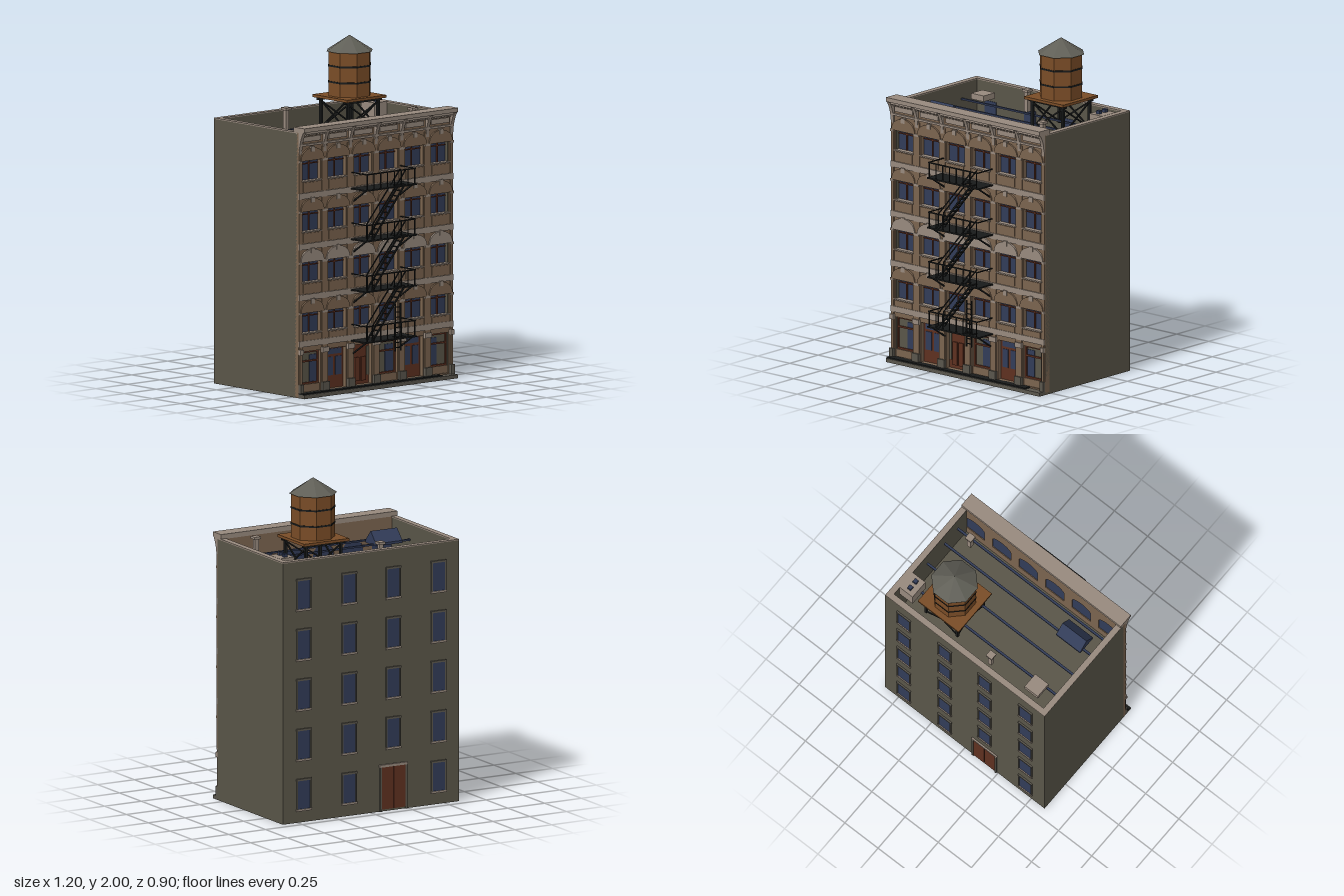
import * as THREE from 'three';

const mat = (name, color, side = THREE.FrontSide) => {
  const m = new THREE.MeshStandardMaterial({ color, side, flatShading: true });
  m.name = name;
  return m;
};

export function createModel() {
  const M = {
    facade: mat('tan facade', 0x7b644f),
    trim: mat('pale stone trim', 0x988a7e),
    wall: mat('grey plaster', 0x5a5649, THREE.DoubleSide),
    glass: mat('blue glass', 0x323c58),
    frame: mat('red brown frame', 0x5e3020),
    iron: mat('black iron', 0x191b1b),
    wood: mat('tank wood', 0x7a4d27),
    slate: mat('grey roof', 0x605f57),
    stone: mat('dark stone', 0x5a564d),
  };
  const root = new THREE.Group();
  root.name = 'apartmentBuilding';
  let target = root;
  const group = (name) => {
    target = new THREE.Group();
    target.name = name;
    root.add(target);
  };
  const add = (name, geo, m, x = 0, y = 0, z = 0) => {
    const mesh = new THREE.Mesh(geo, m);
    mesh.name = name;
    mesh.position.set(x, y, z);
    target.add(mesh);
    return mesh;
  };
  // Box from minimum and maximum corners
  const box = (name, m, x0, x1, y0, y1, z0, z1) =>
    add(name, new THREE.BoxGeometry(x1 - x0, y1 - y0, z1 - z0), m, (x0 + x1) / 2, (y0 + y1) / 2, (z0 + z1) / 2);
  // Thin bar between two points
  const bar = (name, m, a, b, t = 0.008) => {
    const p = new THREE.Vector3(...a), q = new THREE.Vector3(...b);
    const mesh = add(name, new THREE.BoxGeometry(t, t, p.distanceTo(q)), m);
    mesh.position.copy(p).add(q).multiplyScalar(0.5);
    mesh.lookAt(q);
  };
  const extrude = (shape, depth) => new THREE.ExtrudeGeometry(shape, { depth, bevelEnabled: false, curveSegments: 10 });
  const arch = (P, x, y, w, h, rise) => {
    const s = new P();
    s.moveTo(x - w, y);
    s.lineTo(x + w, y);
    s.lineTo(x + w, y + h - rise);
    s.absellipse(x, y + h - rise, w, rise, 0, Math.PI, false);
    s.lineTo(x - w, y);
    return s;
  };
  const rect = (P, x0, x1, y0, y1) => new P([[x0, y0], [x1, y0], [x1, y1], [x0, y1]].map((p) => new THREE.Vector2(...p)));

  const bays = [-0.5, -0.3, -0.1, 0.1, 0.3, 0.5];
  const floors = [0.3, 0.6, 0.9, 1.2];

  // Plaster shell, open above the inner floor
  group('shell');
  for (const s of [-1, 1]) {
    box('sideWall', M.wall, s < 0 ? -0.6 : 0.565, s < 0 ? -0.565 : 0.6, 0, 1.565, -0.445, 0.3);
    box('sideCoping', M.trim, s < 0 ? -0.6 : 0.563, s < 0 ? -0.563 : 0.6, 1.565, 1.572, -0.445, 0.3);
  }
  box('backWall', M.wall, -0.565, 0.565, 0, 1.565, -0.445, -0.41);
  box('backCoping', M.trim, -0.6, 0.6, 1.565, 1.572, -0.445, -0.408);
  box('base', M.wall, -0.6, 0.6, 0, 0.012, -0.445, 0.3);
  box('innerFloor', M.wall, -0.565, 0.565, 1.19, 1.2, -0.41, 0.266);

  // Front wall with arched and square openings
  group('facade');
  const front = rect(THREE.Shape, -0.6, 0.6, 0, 1.57);
  for (const x of bays) {
    for (const f of floors) front.holes.push(arch(THREE.Path, x, f + 0.08, 0.07, 0.177, 0.055));
    front.holes.push(rect(THREE.Path, x - 0.07, x + 0.07, 0.03, 0.27));
  }
  add('frontWall', extrude(front, 0.039), M.facade, 0, 0, 0.266);
  for (const f of floors) {
    const y0 = f === 0.3 ? 0.3 : f - 0.025;
    box('beltCourse', M.trim, -0.6, 0.6, y0, y0 + 0.035, 0.3, 0.314);
    for (const x of bays) {
      add('windowGlass', extrude(arch(THREE.Shape, x, f + 0.08, 0.071, 0.178, 0.055), 0.006), M.glass, 0, 0, 0.271);
      box('mullion', M.frame, x - 0.004, x + 0.004, f + 0.08, f + 0.245, 0.276, 0.284);
      box('transom', M.frame, x - 0.07, x + 0.07, f + 0.175, f + 0.182, 0.276, 0.284);
      box('windowSill', M.trim, x - 0.075, x + 0.075, f + 0.074, f + 0.082, 0.28, 0.314);
      box('spandrelPanel', M.facade, x - 0.066, x + 0.066, f + 0.018, f + 0.07, 0.3, 0.31);
      // Arched hood with keystone
      const hood = arch(THREE.Shape, x, f + 0.2, 0.09, 0.075, 0.068);
      hood.holes.push(arch(THREE.Path, x, f + 0.1999, 0.07, 0.057, 0.054));
      add('windowHood', extrude(hood, 0.014), f === 0.6 ? M.trim : M.facade, 0, 0, 0.303);
      box('keystone', M.trim, x - 0.014, x + 0.014, f + 0.252, f + 0.282, 0.303, 0.321);
    }
    for (let i = -3; i <= 3; i++) {
      const a = Math.max(-0.6, i * 0.2 - 0.022), b = Math.min(0.6, i * 0.2 + 0.022);
      box('pilaster', M.facade, a, b, f + 0.01, f + 0.275, 0.3, 0.31);
      box('pilasterCapital', M.trim, a, b, f + 0.19, f + 0.205, 0.3, 0.316);
    }
  }

  // Cornice, frieze and curved brackets
  group('cornice');
  box('corniceTop', M.trim, -0.6, 0.6, 1.575, 1.6, 0.262, 0.355);
  box('corniceStep', M.trim, -0.6, 0.6, 1.56, 1.576, 0.266, 0.34);
  box('friezeBand', M.trim, -0.6, 0.6, 1.488, 1.5, 0.3, 0.318);
  const bracket = new THREE.Shape();
  bracket.moveTo(0.3, 1.42);
  bracket.lineTo(0.309, 1.42);
  bracket.quadraticCurveTo(0.312, 1.53, 0.35, 1.576);
  bracket.lineTo(0.3, 1.576);
  for (let i = -3; i <= 3; i++) {
    const x = Math.max(-0.589, Math.min(0.589, i * 0.2));
    add('corniceBracket', extrude(bracket, 0.022), M.trim, x + 0.011, 0, 0).rotation.y = -Math.PI / 2;
    target.children.at(-1).position.set(x + 0.011, 0, 0);
  }
  for (const x of bays) box('friezePanel', M.trim, x - 0.07, x + 0.07, 1.512, 1.542, 0.3, 0.312);
  for (let i = 0; i < 48; i++) box('dentil', M.trim, -0.594 + i * 0.025, -0.582 + i * 0.025, 1.548, 1.561, 0.3, 0.328);

  // Ground floor shopfronts and doors
  group('groundFloor');
  box('frontStep', M.stone, -0.6, 0.6, 0, 0.022, 0.3, 0.355);
  box('stepEdge', M.iron, -0.6, 0.48, 0.022, 0.03, 0.3, 0.35);
  for (let i = -3; i <= 3; i++) {
    const a = Math.max(-0.6, i * 0.2 - 0.026), b = Math.min(0.6, i * 0.2 + 0.026);
    box('pierBase', M.stone, a, b, 0.02, 0.08, 0.3, 0.325);
    box('pier', M.facade, a + 0.004, b - 0.004, 0.08, 0.3, 0.3, 0.314);
    box('pierCapital', M.trim, a, b, 0.255, 0.285, 0.3, 0.322);
  }
  bays.forEach((x, i) => {
    const door = i === 1 || i === 4, solid = i === 2;
    const panel = (n, m, a, b, c, d, z = 0.284) => box(n, m, x + a, x + b, c, d, z - 0.008, z);
    panel('bayBacking', door || solid ? M.frame : M.wall, -0.071, 0.071, 0.03, 0.271, 0.277);
    if (door) {
      for (const s of [-1, 1]) panel('doorGlass', M.glass, s * 0.032 - 0.022, s * 0.032 + 0.022, 0.105, 0.215, 0.281);
      panel('fanlight', M.glass, -0.056, 0.056, 0.23, 0.262, 0.281);
    } else if (solid) {
      for (const s of [-1, 1]) {
        panel('sidelight', M.wall, s * 0.06 - 0.009, s * 0.06 + 0.009, 0.08, 0.25, 0.281);
        panel('doorPanel', M.frame, s * 0.024 - 0.018, s * 0.024 + 0.018, 0.05, 0.19, 0.285);
      }
    } else {
      const g = i === 3 ? [-0.005, 0.055] : i === 0 ? [0.005, 0.06] : [-0.06, -0.005];
      panel('stallRiser', M.facade, -0.07, 0.07, 0.03, 0.075, 0.298);
      panel('shopGlass', M.glass, g[0], g[1], 0.085, 0.245, 0.281);
      for (const s of [-1, 1]) panel('shopFrameSide', M.frame, s * 0.064 - 0.006, s * 0.064 + 0.006, 0.075, 0.27, 0.29);
      for (const y of [0.075, 0.205, 0.26]) panel('shopFrameRail', M.frame, -0.07, 0.07, y, y + 0.01, 0.29);
    }
  });

  // Rear windows and door
  group('rear');
  for (const f of [0, ...floors]) for (const x of [-0.458, -0.15, 0.15, 0.458]) {
    if (f === 0 && x === -0.15) continue;
    box('rearGlass', M.glass, x - 0.044, x + 0.044, f + 0.08, f + 0.25, -0.449, -0.406);
    box('rearSill', M.trim, x - 0.052, x + 0.052, f + 0.068, f + 0.08, -0.455, -0.44);
    box('rearLintel', M.stone, x - 0.052, x + 0.052, f + 0.25, f + 0.262, -0.455, -0.44);
    for (const s of [-1, 1]) box('rearJamb', M.stone, x + s * 0.046 - 0.004, x + s * 0.046 + 0.004, f + 0.08, f + 0.25, -0.453, -0.44);
  }
  for (const s of [-1, 1]) {
    box('rearDoorLeaf', M.frame, -0.15 + s * 0.041 - 0.039, -0.15 + s * 0.041 + 0.039, 0.012, 0.265, -0.451, -0.44);
    box('rearDoorJamb', M.stone, -0.15 + s * 0.086 - 0.006, -0.15 + s * 0.086 + 0.006, 0, 0.265, -0.454, -0.44);
  }
  box('rearDoorLintel', M.trim, -0.245, -0.055, 0.265, 0.28, -0.455, -0.44);

  // Fire escape
  group('fireEscape');
  const deck = rect(THREE.Shape, -0.2, 0.2, -0.445, -0.305);
  deck.holes.push(rect(THREE.Path, 0.065, 0.095, -0.42, -0.378), rect(THREE.Path, 0.12, 0.138, -0.42, -0.378));
  const deckGeo = extrude(deck, 0.008).rotateX(-Math.PI / 2);
  deckGeo.translate(0, 0, 0);
  floors.forEach((f, i) => {
    add('landing', deckGeo, M.iron, 0, f - 0.004, 0);
    const t = f + 0.095;
    bar('frontRail', M.iron, [-0.19, t, 0.441], [0.19, t, 0.441], 0.007);
    for (let k = 0; k < 8; k++) {
      const x = -0.185 + k * 0.0529;
      bar('baluster', M.iron, [x, f, 0.441], [x, t, 0.441], 0.005);
    }
    for (const s of [-1, 1]) {
      bar('sideRail', M.iron, [s * 0.19, t, 0.305], [s * 0.19, t, 0.441], 0.006);
      bar('supportBrace', M.iron, [s * 0.18, f - 0.08, 0.306], [s * 0.18, f, 0.43]);
    }
    if (i === 3) return;
    // Flight up to the next landing
    for (const z of [0.375, 0.423]) {
      bar('stringer', M.iron, [-0.13, f, z], [0.12, f + 0.3, z], 0.009);
      bar('handrail', M.iron, [-0.13, f + 0.09, z], [0.13, f + 0.39, z], 0.006);
      bar('handrailPost', M.iron, [-0.13, f, z], [-0.13, f + 0.09, z], 0.006);
    }
    for (let k = 1; k < 10; k++) box('tread', M.iron, -0.14 + k * 0.025, -0.12 + k * 0.025, f + k * 0.03 - 0.002, f + k * 0.03 + 0.002, 0.375, 0.423);
  });
  for (const x of [0.07, 0.11]) bar('ladderRail', M.iron, [x, 0.22, 0.4], [x, 0.5, 0.4], 0.007);
  for (let k = 0; k < 9; k++) bar('ladderRung', M.iron, [0.07, 0.24 + k * 0.03, 0.4], [0.11, 0.24 + k * 0.03, 0.4], 0.005);

  // Rooftop fittings
  group('roofFittings');
  for (const z of [-0.27, -0.11, 0.05, 0.17]) box('roofRib', M.glass, -0.56, 0.555, 1.47, 1.48, z - 0.007, z + 0.007);
  box('roofHatch', M.trim, -0.48, -0.38, 1.49, 1.525, -0.36, -0.26);
  for (const [x, z] of [[-0.12, -0.35], [0.435, 0.14]]) {
    box('ventPipe', M.trim, x - 0.013, x + 0.013, 1.46, 1.58, z - 0.013, z + 0.013);
    box('ventCap', M.trim, x - 0.022, x + 0.022, 1.58, 1.595, z - 0.022, z + 0.022);
  }
  box('chimney', M.trim, 0.467, 0.566, 1.46, 1.573, -0.355, -0.235);
  for (const z of [-0.32, -0.27]) box('chimneyPot', M.glass, 0.5, 0.525, 1.57, 1.592, z - 0.0125, z + 0.0125);
  const gable = new THREE.Shape([[-0.06, 1.47], [0.06, 1.47], [0.06, 1.485], [0, 1.55], [-0.06, 1.485]].map((p) => new THREE.Vector2(...p)));
  add('skylight', extrude(gable, 0.18), M.glass, -0.49, 0, 0.08).rotation.y = Math.PI / 2;

  // Water tank on a braced stand
  group('waterTank');
  const tx = 0.26, tz = -0.22, r = 0.118;
  const drum = (name, m, top, bottom, y0, y1) =>
    (add(name, new THREE.CylinderGeometry(top, bottom, y1 - y0, 8), m, tx, (y0 + y1) / 2, tz).rotation.y = Math.PI / 8);
  drum('tankBarrel', M.wood, 0.13, 0.13, 1.645, 1.912);
  drum('tankRoof', M.slate, 0, 0.142, 1.908, 2);
  for (const y of [1.73, 1.825]) drum('tankHoop', M.iron, 0.133, 0.133, y - 0.005, y + 0.005);
  box('tankPlatform', M.wood, 0.105, 0.412, 1.63, 1.646, -0.374, -0.066);
  for (const s of [-1, 1]) {
    box('tankBeam', M.iron, 0.115, 0.402, 1.615, 1.63, tz + s * r - 0.008, tz + s * r + 0.008);
    for (const q of [-1, 1]) {
      bar('tankLeg', M.iron, [tx + s * r, 1.44, tz + q * r], [tx + s * r, 1.62, tz + q * r], 0.016);
      bar('sideBrace', M.iron, [tx + s * r, 1.45, tz - q * r], [tx + s * r, 1.61, tz + q * r]);
      bar('crossBrace', M.iron, [tx - q * r, 1.45, tz + s * r], [tx + q * r, 1.61, tz + s * r]);
    }
  }
  return root;
}
